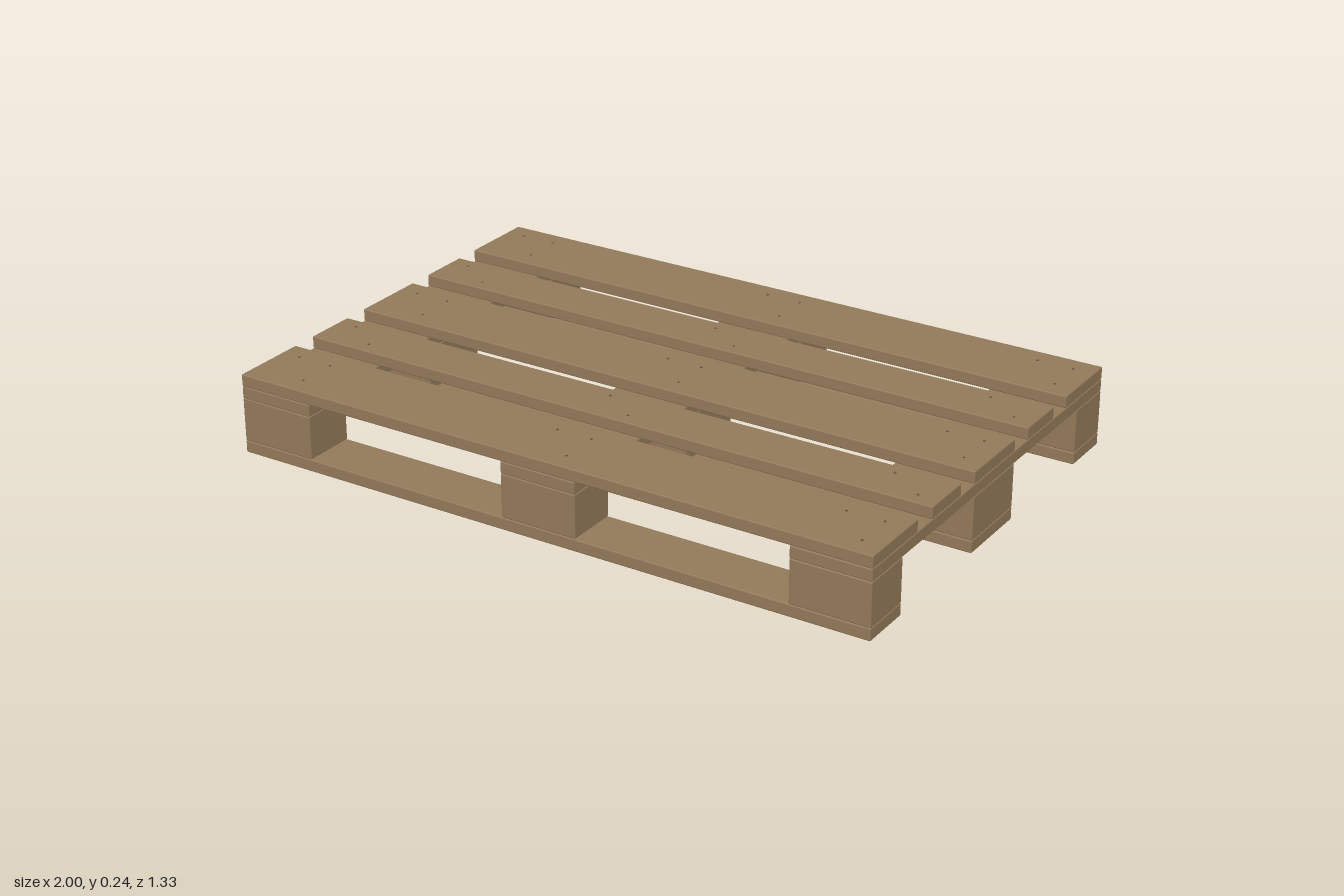
import * as THREE from 'three';
import { RoundedBoxGeometry } from 'three/addons/geometries/RoundedBoxGeometry.js';

const WIDE = 0.236, NARROW = 0.16;      // board widths
const LENGTH = 2, DEPTH = 1.332;        // overall footprint
const BOARD = 0.0367, BLOCK = 0.13;     // layer heights
const BEVEL = 0.004;

export function createModel() {
  const wood = new THREE.MeshStandardMaterial({ color: 0x92795a });
  wood.name = 'wood';
  const steel = new THREE.MeshStandardMaterial({ color: 0x5e5448 });
  steel.name = 'nail steel';

  const pallet = new THREE.Group();
  pallet.name = 'pallet';

  // Softly bevelled timber whose underside sits at height y
  const timber = (name, w, h, d, x, y, z) => {
    const mesh = new THREE.Mesh(new RoundedBoxGeometry(w, h, d, 1, BEVEL), wood);
    mesh.name = name;
    mesh.position.set(x, y + h / 2, z);
    pallet.add(mesh);
  };

  // Flat nail head facing up (side = 1) or down (side = -1)
  const nailGeometry = new THREE.CylinderGeometry(0.004, 0.004, 0.002, 8);
  const nail = (x, y, z, side) => {
    const mesh = new THREE.Mesh(nailGeometry, steel);
    mesh.name = 'nail';
    mesh.position.set(x, y + side * 0.0003, z);
    pallet.add(mesh);
  };

  const columns = [-1, 0, 1].map((s) => s * (LENGTH - WIDE) / 2);
  const edgeZ = (DEPTH - NARROW) / 2;
  const rows = [[-edgeZ, NARROW], [0, WIDE], [edgeZ, NARROW]];
  const deckEdge = (DEPTH - WIDE) / 2;
  const deck = [[-deckEdge, WIDE], [-0.274, NARROW], [0, WIDE], [0.274, NARROW], [deckEdge, WIDE]];

  const blockY = BOARD, stringerY = blockY + BLOCK, deckY = stringerY + BOARD;

  // Bottom runners with a block under each crossing
  for (const [z, width] of rows) {
    timber('bottomRunner', LENGTH, BOARD, width, 0, 0, z);
    for (const x of columns) {
      timber('block', WIDE, BLOCK, width, x, blockY, z);
      for (const s of [-1, 1]) nail(x + s * 0.055, 0, z + s * width * 0.25, -1);
    }
  }

  // Cross boards running front to back
  for (const x of columns) timber('crossBoard', WIDE, BOARD, DEPTH, x, stringerY, 0);

  // Deck boards, nailed at each crossing
  for (const [z, width] of deck) {
    timber('deckBoard', LENGTH, BOARD, width, 0, deckY, z);
    for (const x of columns) {
      for (const s of [-1, 1]) nail(x + s * 0.055, deckY + BOARD, z + s * width * 0.25, 1);
      if (width === WIDE) nail(x + 0.055, deckY + BOARD, z - width * 0.25, 1);
    }
  }
  return pallet;
}
